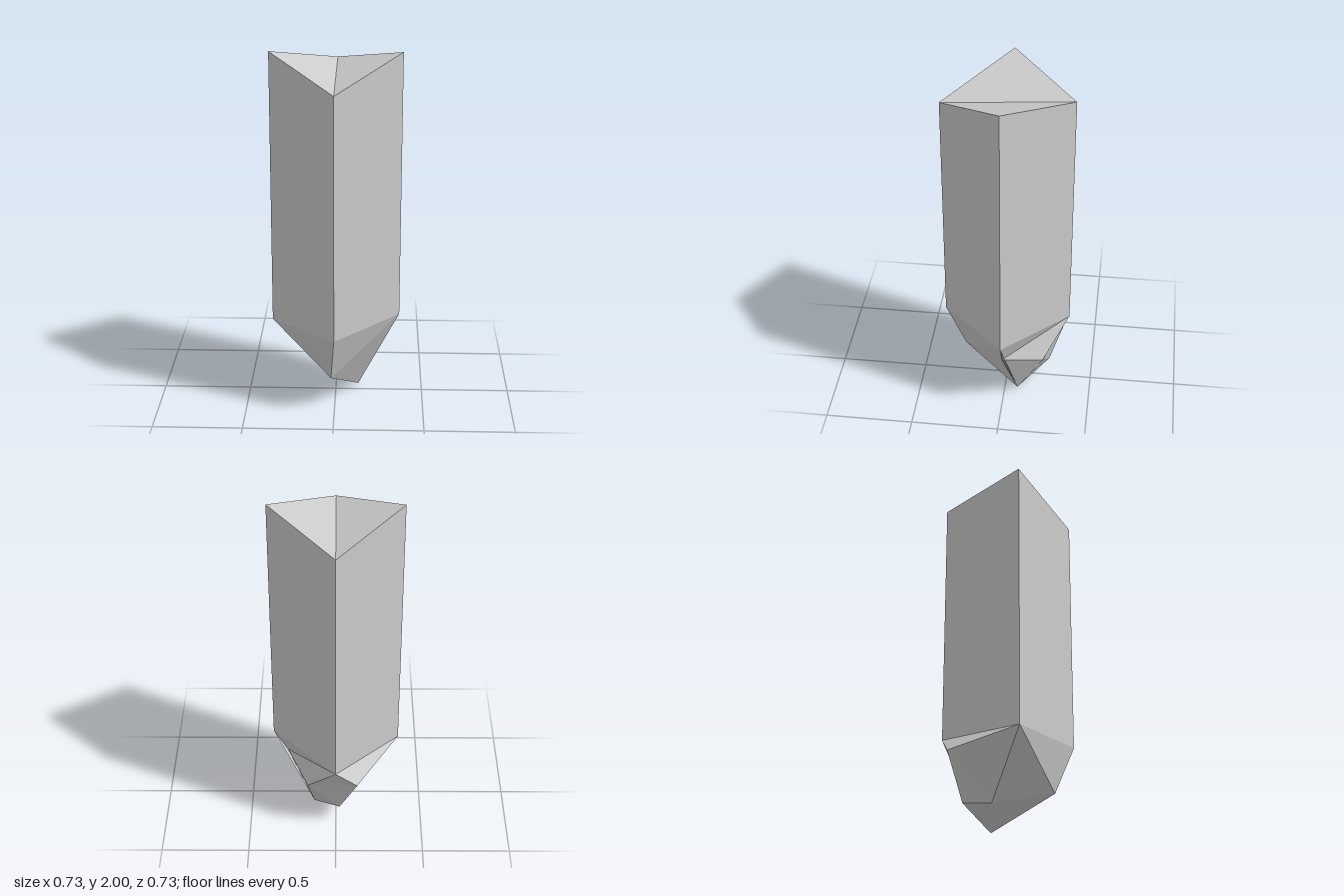
import * as THREE from 'three';

// Flat-shaded mesh from named corners and faces (3 or 4 corners, counter-clockwise from outside)
function facetMesh(name, points, faces, material) {
  const positions = [];
  for (const face of faces) {
    const corners = face.split(' ').map((key) => points[key]);
    for (let i = 1; i < corners.length - 1; i++) {
      positions.push(...corners[0], ...corners[i], ...corners[i + 1]);
    }
  }
  const geometry = new THREE.BufferGeometry();
  geometry.setAttribute('position', new THREE.Float32BufferAttribute(positions, 3));
  geometry.computeVertexNormals();
  const mesh = new THREE.Mesh(geometry, material);
  mesh.name = name;
  return mesh;
}

export function createModel() {
  const group = new THREE.Group();
  group.name = 'crystalShard';
  const material = new THREE.MeshStandardMaterial({ color: 0xcccccc, flatShading: true });

  const r = 0.363;
  const points = {
    // Upper rim of the shaft: front, right edge, back, left edge
    F: [0, 1.845, r], R: [r, 2, 0], B: [0, 1.895, -r], L: [-r, 2, 0],
    // Lower rim of the shaft
    f: [0, 0.465, r], r: [r, 0.48, 0], b: [0, 0.465, -r], l: [-r, 0.44, 0],
    // Corners of the broken tip
    chin: [-0.02, 0.19, 0.25],
    tip: [0.13, 0, -0.075],
    side: [0.283, 0.337, 0],
    notch: [0.163, 0.255, -0.225],
    bulge: [-0.122, 0.365, -0.348],
    heel: [-0.022, 0.11, -0.25],
    edge: [-0.063, 0.105, -0.1],
  };

  // Square shaft with a creased, sloping top
  group.add(facetMesh('shaft', points, [
    'F f r R', 'R r b B', 'B b l L', 'L l f F',
    'F R B', 'F B L',
  ], material));

  // Irregular faceted tip below the shaft
  group.add(facetMesh('tip', points, [
    'f chin r', 'r chin tip', 'r tip side',
    'r side b', 'side notch b', 'side tip notch',
    'b notch bulge', 'notch tip heel', 'notch heel bulge',
    'b bulge l', 'bulge edge l', 'bulge heel edge', 'heel tip edge',
    'l edge chin', 'l chin f', 'chin edge tip',
  ], material));

  return group;
}
